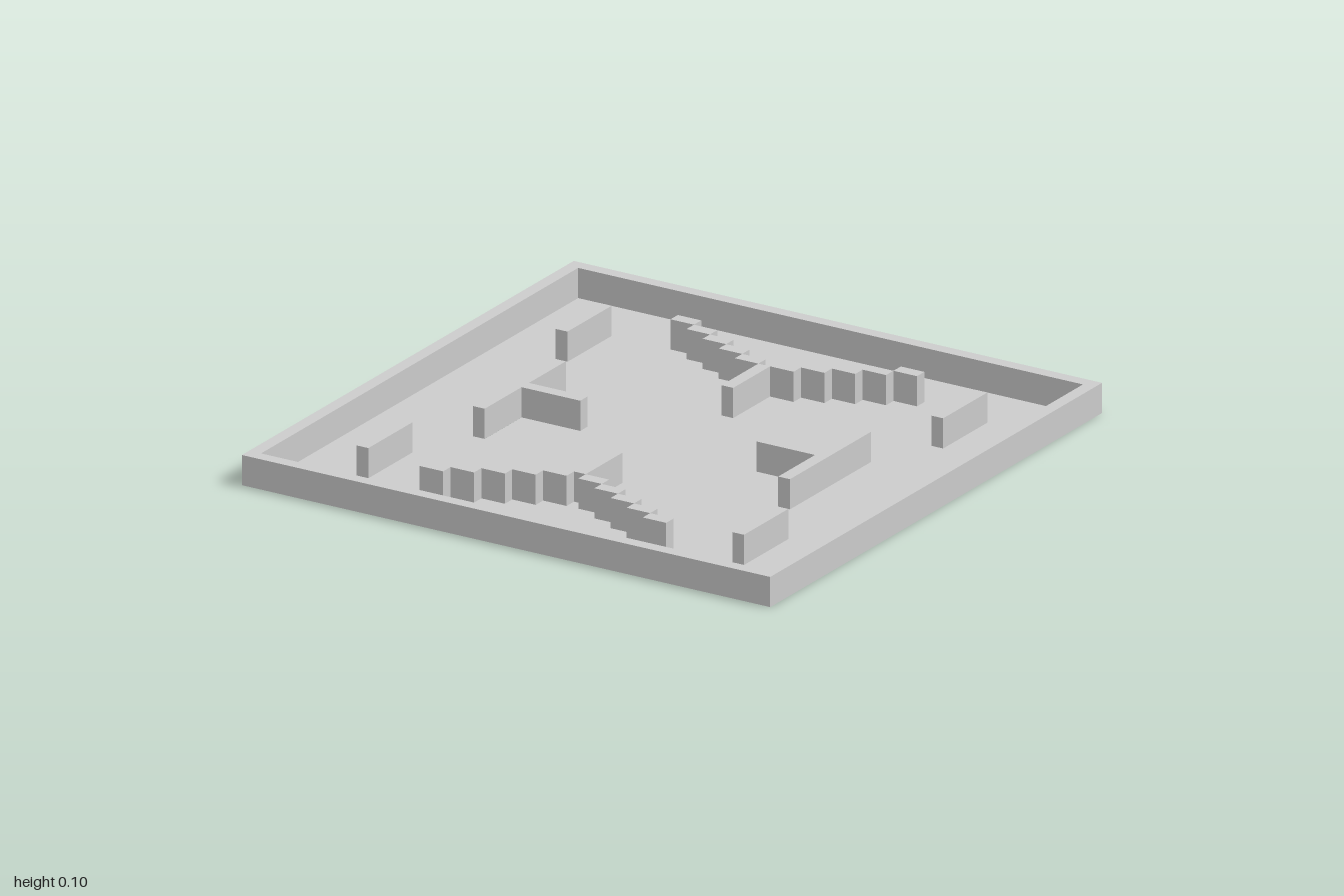
import * as THREE from 'three';

const CELL = 2 / 45;   // plan grid unit
const HEIGHT = 0.104;  // all walls share one height

const rect = (x0, x1, z0, z1) => [[x0, z0], [x1, z0], [x1, z1], [x0, z1]];
const mirror = (pts, sx, sz) => pts.map(([x, z]) => [x * sx, z * sz]);
const toPoints = pts => pts.map(([x, z]) => new THREE.Vector2(x * CELL, -z * CELL));

// Extrude a plan upwards and leave its underside open
function raise(shape) {
  const geo = new THREE.ExtrudeGeometry(shape, { depth: HEIGHT, bevelEnabled: false });
  geo.rotateX(-Math.PI / 2);
  const p = geo.attributes.position;
  const keep = [];
  for (let i = 0; i < p.count; i += 3) {
    if (Math.max(p.getY(i), p.getY(i + 1), p.getY(i + 2)) > HEIGHT / 2) keep.push(i, i + 1, i + 2);
  }
  geo.clearGroups();
  geo.setIndex(keep);
  return geo;
}

// Plan outline drawn very slightly smaller, so neighbouring floor openings stay separate
function opening(pts) {
  const box = new THREE.Box2().setFromPoints(toPoints(pts));
  const mid = box.getCenter(new THREE.Vector2());
  return new THREE.Path(toPoints(pts).map(v => v.sub(mid).multiplyScalar(0.995).add(mid)));
}

export function createModel() {
  const arena = new THREE.Group();
  arena.name = 'arena';
  const material = new THREE.MeshStandardMaterial({ color: 0xcccccc, side: THREE.DoubleSide, flatShading: true });
  const add = (name, geo) => {
    const mesh = new THREE.Mesh(geo, material);
    mesh.name = name;
    arena.add(mesh);
  };

  // Inner wall plans, in grid units
  const walls = [];
  const tee = [[7.5, -0.5], [12.5, -0.5], [12.5, -5.5], [13.5, -5.5],
    [13.5, 5.5], [12.5, 5.5], [12.5, 0.5], [7.5, 0.5]];
  for (const s of [1, -1]) {
    walls.push(['teeWall', mirror(tee, s, 1)]);
    walls.push(['stemWall', mirror(rect(-0.5, 0.5, 7.5, 12.5), 1, s)]);
    for (const t of [1, -1]) {
      walls.push(['sideWall', mirror(rect(15.5, 16.5, 10.5, 16.5), s, t)]);
      // Stepped diagonal arm
      for (let k = 0; k < 5; k++) {
        walls.push(['stepBlock', mirror(rect(0.5 + 2 * k, 2.5 + 2 * k, 12.5 + k, 13.5 + k), s, t)]);
      }
    }
  }
  for (const [name, pts] of walls) add(name, raise(new THREE.Shape(toPoints(pts))));

  // Outer border wall
  const inner = rect(-21.5, 21.5, -21.5, 21.5);
  const border = new THREE.Shape(toPoints(rect(-22.5, 22.5, -22.5, 22.5)));
  border.holes.push(new THREE.Path(toPoints(inner)));
  add('borderWall', raise(border));

  // Thin floor, open beneath each hollow wall
  const floor = new THREE.Shape(toPoints(inner));
  floor.holes = walls.map(([, pts]) => opening(pts));
  add('floor', new THREE.ShapeGeometry(floor).rotateX(-Math.PI / 2));

  return arena;
}
